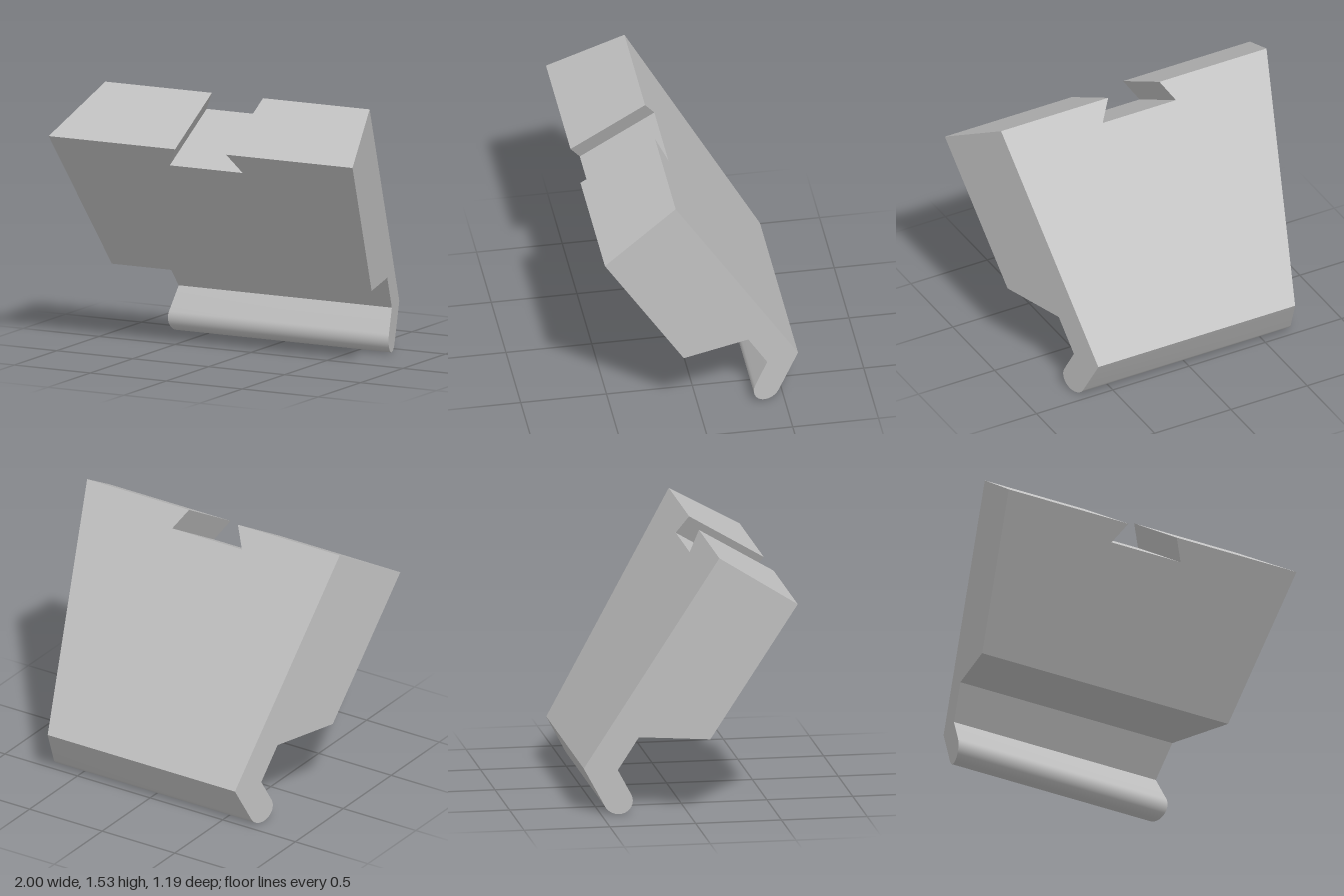
import * as THREE from 'three';
import { toCreasedNormals } from 'three/addons/utils/BufferGeometryUtils.js';

// Half width of the body at depth z: the sides flare towards the front
const halfWidth = (z) => 0.822 + 0.299 * z;
const at = (x, [z, y]) => new THREE.Vector3(x, y, z);
const left = (p) => at(halfWidth(p[0]), p);
const right = (p) => at(-halfWidth(p[0]), p);
const lerp = (p, q, t) => [p[0] + (q[0] - p[0]) * t, p[1] + (q[1] - p[1]) * t];

// Adds a flat polygon, corners counter-clockwise seen from outside
function addFace(out, pts) {
  const n = new THREE.Vector3();
  pts.forEach((p, i) => n.add(p.clone().cross(pts[(i + 1) % pts.length])));
  n.normalize();
  const u = pts[1].clone().sub(pts[0]).normalize();
  const v = n.clone().cross(u);
  const flat = pts.map((p) => new THREE.Vector2(p.dot(u), p.dot(v)));
  for (const [i, j, k] of THREE.ShapeUtils.triangulateShape(flat, [])) {
    const [a, b, c] = [flat[i], flat[j], flat[k]];
    const turn = b.clone().sub(a).cross(c.clone().sub(a));
    for (const m of turn > 0 ? [i, j, k] : [i, k, j]) out.push(...pts[m].toArray());
  }
}

export function createModel() {
  // Side profile as [z, y]
  const frontTop = [0.595, 1.272], backTop = [0.16, 1.53];
  const heel = [-0.592, 0.263], frontBottom = [0.11, 0.458];
  const centre = [-0.402, 0.082], radius = 0.082;
  const profile = [frontTop, backTop, heel];
  const steps = 24, start = -152.2 * Math.PI / 180;
  for (let i = 0; i <= steps; i++) {
    const a = start + Math.PI * i / steps;
    profile.push([centre[0] + radius * Math.cos(a), centre[1] + radius * Math.sin(a)]);
  }
  profile.push([-0.403, 0.26], [-0.286, 0.458], frontBottom);

  const out = [];
  // Flared sides
  addFace(out, profile.map(left).reverse());
  addFace(out, profile.map(right));

  // Heel, rounded lip and underside
  for (let i = 2; i < profile.length - 1; i++) {
    const p = profile[i], q = profile[i + 1];
    addFace(out, [left(p), left(q), right(q), right(p)]);
  }

  // Top edge with a dovetail slot running front to back
  const edge = (top, floor) => [left(top), at(0.168, top), at(0.24, floor),
    at(-0.24, floor), at(-0.168, top), right(top)];
  const front = edge(frontTop, lerp(frontTop, frontBottom, 0.137));
  const back = edge(backTop, lerp(backTop, heel, 0.088));
  for (let i = 0; i < 5; i++) addFace(out, [front[i], back[i], back[i + 1], front[i + 1]]);

  // Notched front and back faces
  addFace(out, [left(frontBottom), ...front, right(frontBottom)]);
  addFace(out, [left(heel), right(heel), ...back.reverse()]);

  const geometry = new THREE.BufferGeometry();
  geometry.setAttribute('position', new THREE.Float32BufferAttribute(out, 3));
  const grey = new THREE.MeshStandardMaterial({ color: 0xc0c0c0 });
  grey.name = 'light grey';
  const body = new THREE.Mesh(toCreasedNormals(geometry, Math.PI / 6), grey);
  body.name = 'slottedWedgeBody';

  const group = new THREE.Group();
  group.name = 'dovetailClip';
  group.add(body);
  return group;
}
